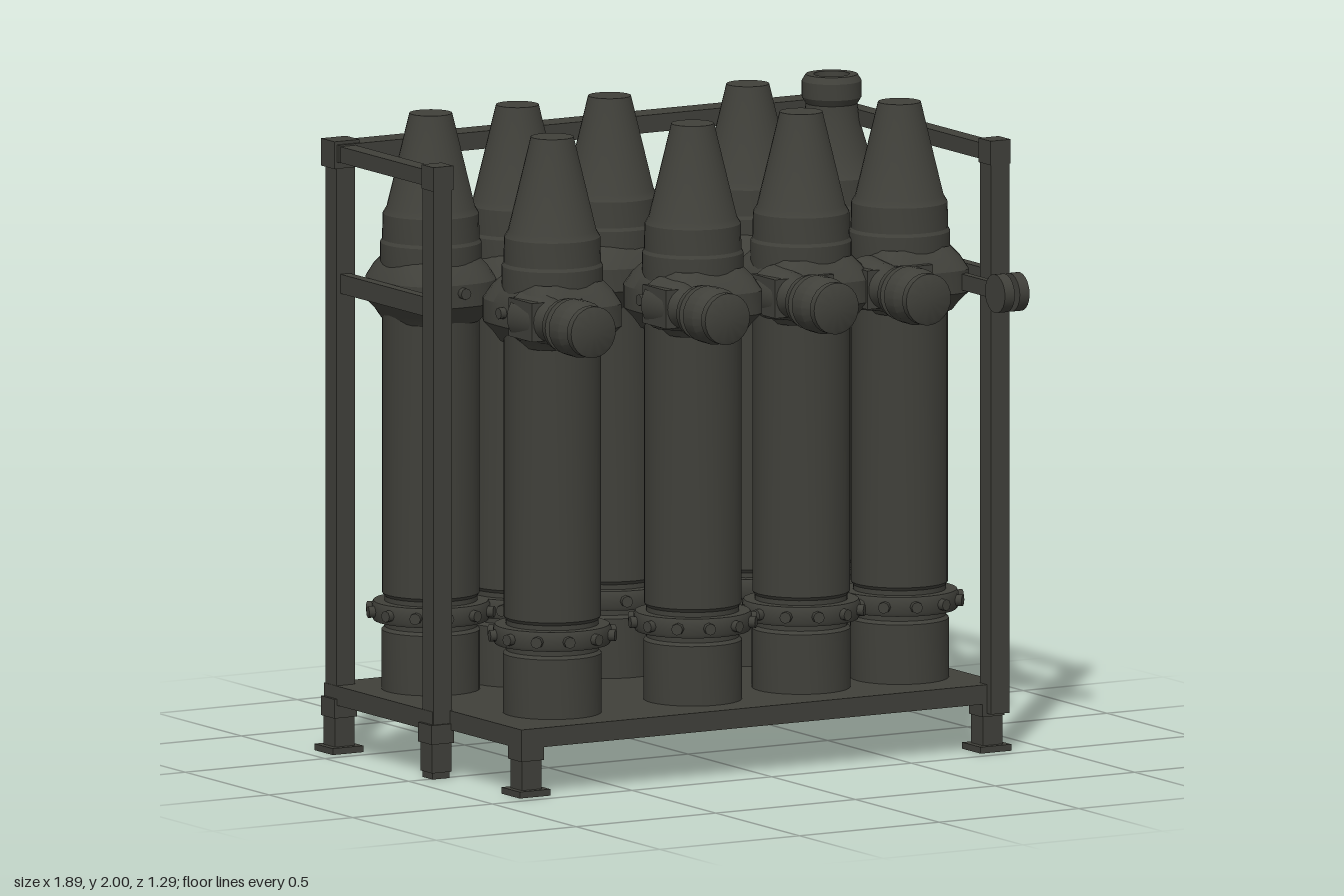
import * as THREE from 'three';
import { toCreasedNormals } from 'three/addons/utils/BufferGeometryUtils.js';

const metal = new THREE.MeshStandardMaterial({ color: 0x40403a });
metal.name = 'dark olive metal';

function add(parent, name, geometry, x = 0, y = 0, z = 0) {
  const mesh = new THREE.Mesh(geometry, metal);
  mesh.name = name;
  mesh.position.set(x, y, z);
  parent.add(mesh);
  return mesh;
}

// Box given by its minimum and maximum corners
function span(parent, name, x0, x1, y0, y1, z0, z1) {
  return add(parent, name, new THREE.BoxGeometry(x1 - x0, y1 - y0, z1 - z0),
    (x0 + x1) / 2, (y0 + y1) / 2, (z0 + z1) / 2);
}

const lathe = (points, sides = 32) =>
  toCreasedNormals(new THREE.LatheGeometry(points.map(p => new THREE.Vector2(...p)), sides), 0.5);

// Lathe pushed out towards a rounded square, for the clamp collars
function collarGeometry(power, sx, sz) {
  const g = new THREE.LatheGeometry(
    [[0.145, 1.36], [0.165, 1.39], [0.192, 1.42], [0.192, 1.49], [0.168, 1.53], [0.14, 1.56]]
      .map(p => new THREE.Vector2(...p)), 40);
  const pos = g.attributes.position;
  for (let i = 0; i < pos.count; i++) {
    const x = pos.getX(i), z = pos.getZ(i), r = Math.hypot(x, z);
    const c = Math.abs(x / r), s = Math.abs(z / r);
    const k = Math.pow(c ** power + s ** power, -1 / power);
    pos.setX(i, x * k * sx);
    pos.setZ(i, z * k * sz);
  }
  g.computeVertexNormals();
  return toCreasedNormals(g, 0.5);
}

const body = [[0, 0.2], [0.152, 0.2], [0.152, 0.395], [0.143, 0.405], [0.143, 0.5],
  [0.15, 0.51], [0.15, 1.4], [0.156, 1.54], [0.156, 1.6], [0.15, 1.61], [0.148, 1.69], [0.136, 1.71]];
const bodyGeometry = lathe([...body, [0.066, 2], [0, 2]]);
// Open valve head instead of a plain nose
const valveBodyGeometry = lathe([...body, [0.115, 1.76], [0.085, 1.86], [0.08, 1.91], [0.092, 1.93],
  [0.092, 1.98], [0.08, 2], [0.055, 2], [0.05, 1.93], [0, 1.93]]);
const ringGeometry = lathe([[0.14, 0.425], [0.177, 0.425], [0.182, 0.435], [0.182, 0.475],
  [0.177, 0.485], [0.14, 0.485]]);
const boltGeometry = new THREE.CylinderGeometry(0.018, 0.018, 0.03, 8).rotateX(Math.PI / 2);
const frontCollar = collarGeometry(4.5, 0.9, 1.02);
const backCollar = collarGeometry(2.8, 0.94, 1);

function tank(x, z, front, valveHead) {
  const g = new THREE.Group();
  g.name = front ? 'frontTank' : 'backTank';
  g.position.set(x, 0, z);
  add(g, 'tankBody', valveHead ? valveBodyGeometry : bodyGeometry);
  add(g, 'lowerRing', ringGeometry);
  add(g, 'collar', front ? frontCollar : backCollar);
  for (let i = 0; i < 12; i++) {
    const a = (i + 0.5) / 12 * Math.PI * 2;
    add(g, 'ringBolt', boltGeometry, Math.sin(a) * 0.186, 0.455, Math.cos(a) * 0.186).rotation.y = a;
  }
  // Bolts on the faces of the collar
  for (let i = 0; i < 4; i++) {
    const a = i * Math.PI / 2;
    add(g, 'collarBolt', boltGeometry, Math.sin(a) * 0.178, 1.465, Math.cos(a) * 0.197).rotation.y = a;
  }
  return g;
}

// Outlet coupling pointing to the front
const outletGeometry = lathe([[0.085, 0], [0.075, 0.1], [0.05, 0.16], [0.05, 0.2], [0.082, 0.205],
  [0.086, 0.23], [0.068, 0.24], [0.088, 0.255], [0.088, 0.31], [0.07, 0.345],
  [0.08, 0.35], [0.08, 0.375], [0.07, 0.38], [0, 0.38]], 24).rotateX(Math.PI / 2);

export function createModel() {
  const model = new THREE.Group();
  model.name = 'tankRack';

  // Base and feet
  span(model, 'basePlate', -0.86, 0.87, 0.15, 0.21, -0.64, 0.44);
  span(model, 'baseSideBeam', -0.92, -0.85, 0.15, 0.21, -0.64, 0.01);
  for (const [x, z] of [[-0.89, -0.6], [-0.89, -0.02], [-0.82, 0.4], [0.83, 0.4], [0.83, -0.6]]) {
    const w = z === -0.02 ? 0.03 : 0.055;
    span(model, 'footLeg', x - 0.035, x + 0.035, 0.02, 0.15, z - 0.035, z + 0.035);
    span(model, 'footPad', x - w, x + w, 0, 0.02, z - w, Math.min(z + w, 0.46));
    span(model, 'footBracket', x - 0.04, x + 0.04, 0.11, 0.17, z - 0.04, z + 0.04);
  }

  // Upright posts and rails
  for (const [x, z] of [[-0.885, -0.6], [-0.885, -0.02], [0.84, 0.43]]) {
    span(model, 'post', x - 0.033, x + 0.033, 0.12, 1.88, z - 0.033, z + 0.033);
    span(model, 'postCap', x - 0.036, x + 0.036, 1.83, 1.905, z - 0.036, z + 0.036);
  }
  span(model, 'backTopRail', -0.92, 0.87, 1.84, 1.895, -0.64, -0.55);
  span(model, 'leftCornerBlock', -0.93, -0.84, 1.82, 1.905, -0.64, -0.56);
  span(model, 'rightCornerBlock', 0.79, 0.88, 1.82, 1.905, -0.64, -0.56);
  span(model, 'sideTopRail', -0.915, -0.86, 1.84, 1.89, -0.6, 0);
  span(model, 'sideTopRail', 0.81, 0.865, 1.84, 1.89, -0.6, 0.44);
  span(model, 'sideMidRail', -0.905, -0.87, 1.43, 1.49, -0.6, 0);
  span(model, 'sideMidRail', 0.85, 0.885, 1.43, 1.49, -0.62, 0.44);

  // Tanks in two rows
  for (const [x, z] of [[-0.69, -0.385], [-0.38, -0.385], [-0.05, -0.385], [0.43, -0.36]]) {
    model.add(tank(x, z, false, false));
  }
  model.add(tank(0.745, -0.385, false, true));
  for (const [x, z, outletX] of [[-0.6, 0.19, -0.71], [-0.1, 0.195, -0.23],
    [0.3, 0.175, 0.16], [0.655, 0.17, 0.49]]) {
    model.add(tank(x, z, true, false));
    add(model, 'outlet', outletGeometry, outletX, 1.46, 0.245);
    span(model, 'outletBlock', outletX - 0.07, x, 1.4, 1.52, 0.23, 0.37);
  }

  // Bar joining the back collars
  span(model, 'backLinkBar', -0.69, 0.74, 1.43, 1.49, -0.5, -0.46);

  // Side hand wheel on its arm
  span(model, 'wheelArm', 0.765, 0.79, 1.43, 1.48, 0.15, 0.62);
  for (const x of [0.772, 0.825]) {
    add(model, 'handWheel', new THREE.CylinderGeometry(0.06, 0.06, 0.035, 20).rotateZ(Math.PI / 2), x, 1.45, 0.575);
  }
  add(model, 'wheelAxle', new THREE.CylinderGeometry(0.02, 0.02, 0.07, 12).rotateZ(Math.PI / 2), 0.8, 1.45, 0.575);
  return model;
}
